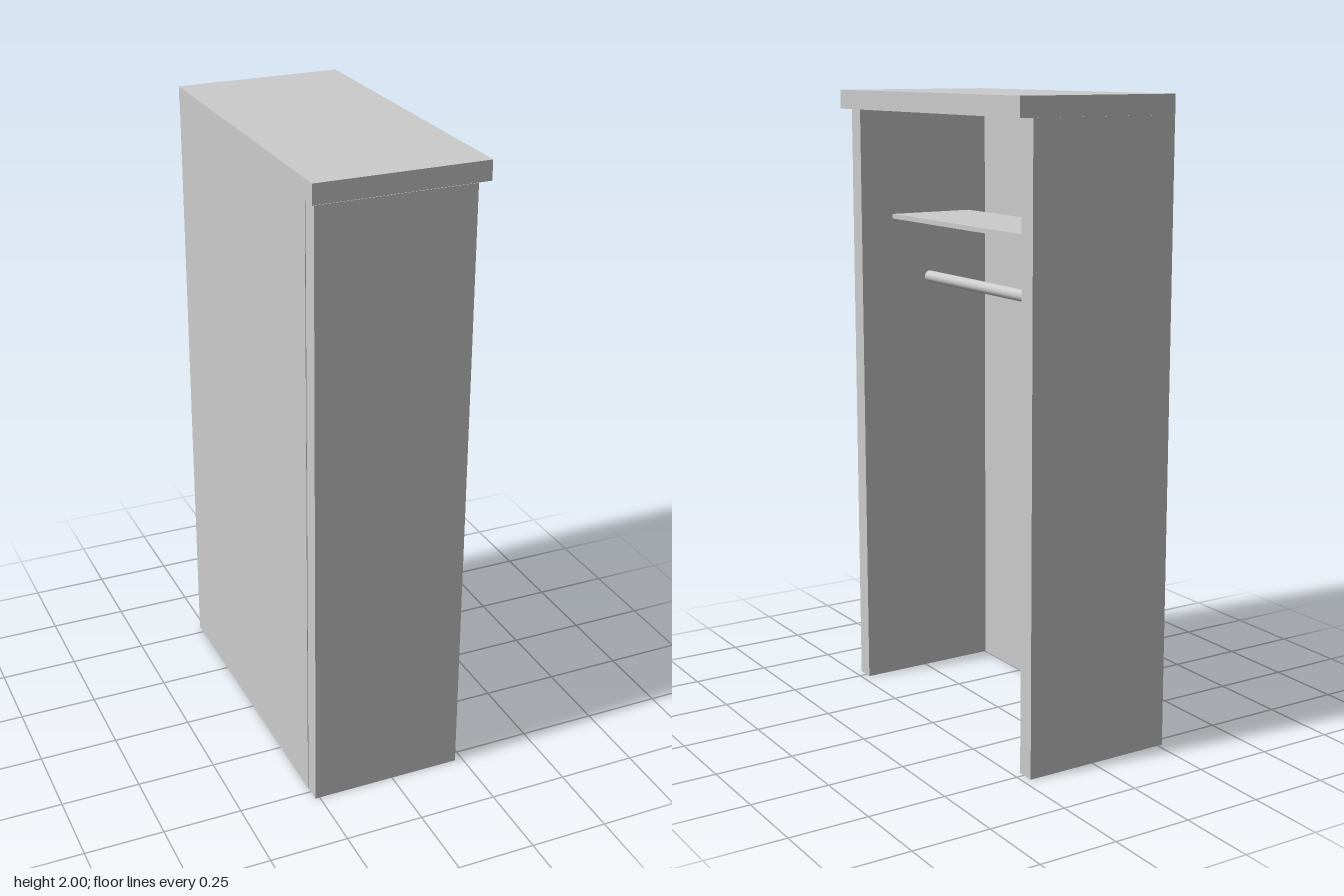
import * as THREE from 'three';

export function createModel() {
  const group = new THREE.Group();
  group.name = 'openWardrobe';
  const material = new THREE.MeshStandardMaterial({ color: 0xcccccc });

  // Box given by its minimum and maximum on each axis
  function panel(name, [x0, x1], [y0, y1], [z0, z1]) {
    const mesh = new THREE.Mesh(new THREE.BoxGeometry(x1 - x0, y1 - y0, z1 - z0), material);
    mesh.position.set((x0 + x1) / 2, (y0 + y1) / 2, (z0 + z1) / 2);
    mesh.name = name;
    group.add(mesh);
  }

  // Carcass, open towards +x
  panel('topBoard', [-0.268, 0.267], [1.94, 2], [-0.535, 0.535]);
  panel('frontSidePanel', [-0.264, 0.225], [0, 1.94], [0.48, 0.537]);
  panel('rearSidePanel', [-0.25, 0.225], [0, 1.94], [-0.537, -0.48]);
  panel('backPanel', [-0.266, -0.25], [0, 1.94], [-0.537, 0.48]);

  // Shelf, standing clear of the back panel
  panel('shelf', [-0.185, 0.11], [1.58, 1.595], [-0.48, 0.48]);

  // Hanging rail between the side panels
  const rail = new THREE.Mesh(new THREE.CylinderGeometry(0.019, 0.019, 0.96, 20), material);
  rail.name = 'hangingRail';
  rail.rotation.x = Math.PI / 2;
  rail.position.set(-0.03, 1.379, 0);
  group.add(rail);

  return group;
}
